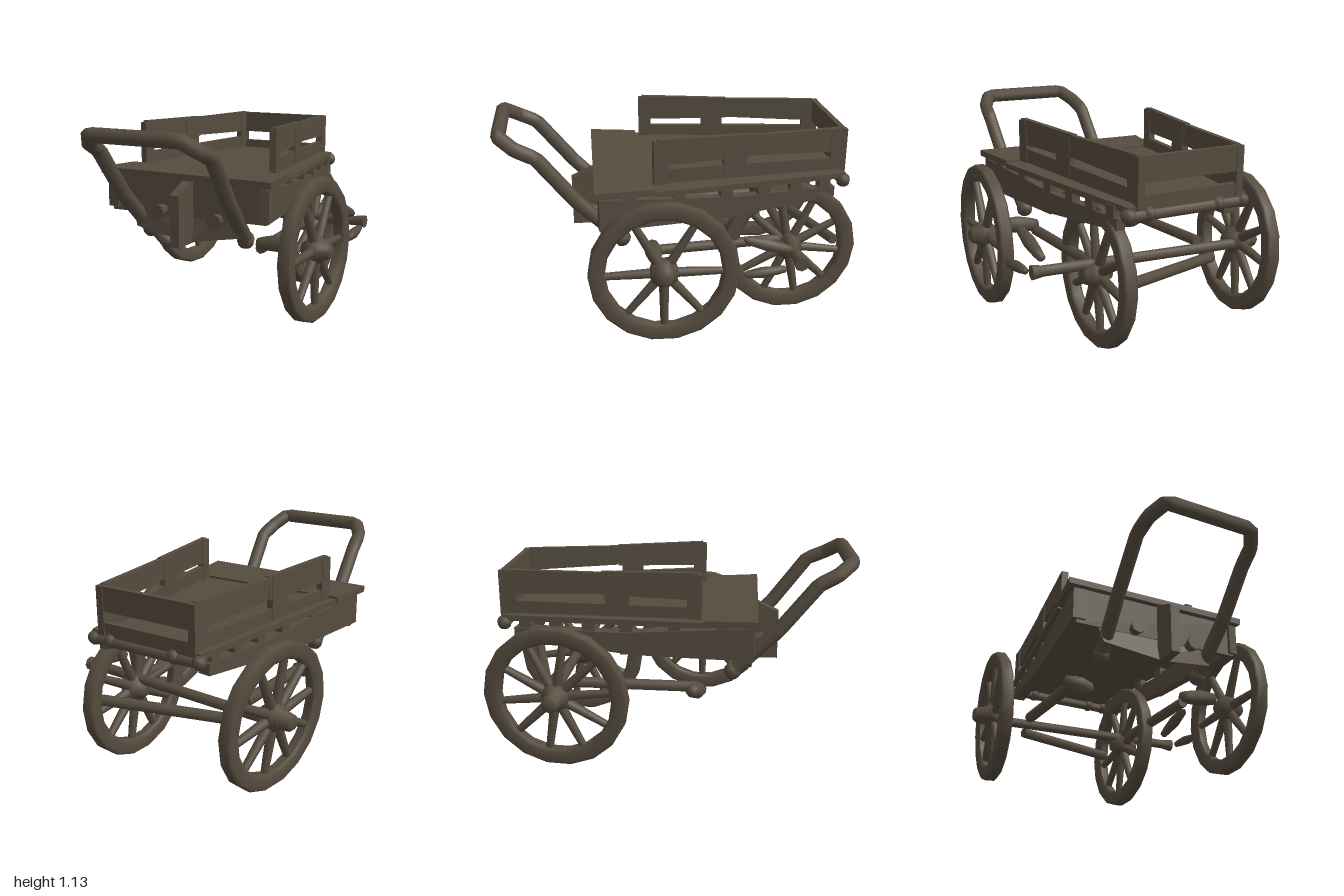
import * as THREE from 'three';
import { ConvexGeometry } from 'three/addons/geometries/ConvexGeometry.js';

export function createModel() {
  const cart = new THREE.Group();
  cart.name = 'handCart';
  const wood = new THREE.MeshStandardMaterial({ color: 0x564c3f });
  wood.name = 'darkWood';
  const V = (p) => new THREE.Vector3(...p);

  function add(geometry, name, parent = cart) {
    const mesh = new THREE.Mesh(geometry, wood);
    mesh.name = name;
    parent.add(mesh);
    return mesh;
  }

  // Upright board whose bottom edge runs from a to b; heights at both ends
  function plank(name, a, b, ha, hb = ha, t = 0.03) {
    const side = new THREE.Vector3(b[2] - a[2], 0, a[0] - b[0]).setLength(t / 2);
    const pts = [];
    for (const [p, h] of [[a, ha], [b, hb]])
      for (const y of [0, h])
        for (const s of [-1, 1]) pts.push(V(p).addScaledVector(side, s).add(V([0, y, 0])));
    return add(new ConvexGeometry(pts), name);
  }

  // Flat board: outline [x, y, z] with thickness t downwards
  function deck(name, outline, t) {
    const pts = outline.flatMap(([x, y, z]) => [V([x, y, z]), V([x, y - t, z])]);
    return add(new ConvexGeometry(pts), name);
  }

  // Places a mesh that lies along y between a and b
  function align(mesh, a, d) {
    mesh.position.copy(V(a)).addScaledVector(d, 0.5);
    mesh.quaternion.setFromUnitVectors(new THREE.Vector3(0, 1, 0), d.clone().normalize());
  }

  // Round bar from a to b
  function bar(name, a, b, r0, r1 = r0, parent = cart) {
    const d = V(b).sub(V(a));
    align(add(new THREE.CylinderGeometry(r1, r0, d.length(), 8), name, parent), a, d);
  }

  // Bar that swells in the middle, like a broken spindle
  function spindle(name, a, b, r) {
    const d = V(b).sub(V(a)), len = d.length();
    const profile = [[0, 0], [0.6, 0.03], [0.8, 0.2], [1, 0.55], [0.7, 0.9], [0, 1]]
      .map(([x, y]) => new THREE.Vector2(x * r, (y - 0.5) * len));
    align(add(new THREE.LatheGeometry(profile, 8), name), a, d);
  }

  // Wheel with its axis along x; yaw and lean tilt it, hubOut is the signed outer hub length
  function wheel(name, pos, R, yaw, lean, hubOut, spokes) {
    const g = new THREE.Group();
    g.name = name;
    const rimProfile = [[-0.088, -0.022], [-0.07, -0.037], [-0.014, -0.037], [0, -0.024], [0, 0.024],
      [-0.014, 0.037], [-0.07, 0.037], [-0.088, 0.022], [-0.088, -0.022]]
      .map(([r, x]) => new THREE.Vector2(R + r, x));
    add(new THREE.LatheGeometry(rimProfile, 18), 'rim', g).rotation.z = -Math.PI / 2;
    const end = Math.abs(hubOut);
    const hubProfile = [[0, -0.075], [0.035, -0.075], [0.045, -0.05], [0.08, -0.025], [0.08, 0.02],
      [0.055, 0.05], [0.045, end - 0.015], [0.03, end], [0, end]]
      .map(([r, x]) => new THREE.Vector2(r, x));
    add(new THREE.LatheGeometry(hubProfile, 10), 'hub', g).rotation.z = -Math.sign(hubOut) * Math.PI / 2;
    for (const degrees of spokes) {
      const a = degrees * Math.PI / 180, c = Math.cos(a), s = Math.sin(a);
      bar('spoke', [0, c * 0.05, s * 0.05], [0, c * (R - 0.06), s * (R - 0.06)], 0.028, 0.02, g);
    }
    g.position.set(...pos);
    g.rotation.set(0, yaw, lean);
    cart.add(g);
  }
  const tenSpokes = Array.from({ length: 10 }, (_, i) => i * 36 + 10);
  wheel('rearRightWheel', [-0.592, 0.435, -0.605], 0.395, -0.11, 0.055, -0.125, tenSpokes);
  wheel('frontLeftWheel', [0.622, 0.44, 0.135], 0.4, -0.05, 0, 0.095, [-31, 29, 92, 140, 180, 220, 270]);
  wheel('rearInnerWheel', [0.297, 0.39, -0.62], 0.385, -0.03, 0.015, 0.09, tenSpokes);

  // Axle, rear crossbar and loose undercarriage pieces
  bar('axle', [-0.65, 0.425, -0.64], [0.62, 0.45, -0.6], 0.03);
  bar('axleTip', [0.58, 0.45, -0.605], [0.655, 0.45, -0.6], 0.028, 0.04);
  bar('rearCrossbar', [0.3, 0.41, -0.89], [-0.36, 0.4, -0.7], 0.03);
  bar('rightStay', [-0.36, 0.42, 0.13], [-0.38, 0.44, -0.54], 0.032);
  spindle('rightStayEnd', [-0.43, 0.42, 0.1], [-0.27, 0.37, 0.16], 0.05);
  bar('leftStay', [0.3, 0.41, 0.16], [0.31, 0.44, -0.56], 0.03);
  spindle('leftStayEnd', [0.28, 0.44, 0.16], [0.53, 0.47, 0.17], 0.05);
  spindle('brokenSpindle', [0.58, 0.5, -0.57], [0.59, 0.59, -0.29], 0.036);
  spindle('brokenStay', [0.65, 0.43, -0.52], [0.655, 0.41, -0.28], 0.03);

  // Floor and the wide front board
  deck('floor', [[-0.52, 0.835, 0.2], [0.475, 0.835, 0.16], [0.3, 0.82, -0.93], [-0.385, 0.82, -0.93]], 0.03);
  deck('frontBoard', [[-0.56, 0.855, 0.455], [0.51, 0.855, 0.48], [0.47, 0.848, 0.16], [-0.525, 0.848, 0.18]], 0.035);

  // Slatted sides on top of the floor
  const sides = [['right', [-0.465, 0.16], [-0.34, -0.91], 0.06], ['left', [0.37, 0.16], [0.23, -0.91], 0.08]];
  for (const [name, f, r, slat] of sides) {
    const at = (t, y) => [f[0] + (r[0] - f[0]) * t, y, f[1] + (r[1] - f[1]) * t];
    plank(name + 'LowerSlat', at(0, 0.845), at(1, 0.825), slat, 0.07, 0.032);
    plank(name + 'UpperSlatFront', at(0.02, 0.945), at(0.5, 0.95), 0.145, 0.125, 0.032);
    plank(name + 'UpperSlatRear', at(0.5, 0.955), at(1, 0.93), 0.115, 0.135, 0.03);
    for (const [t0, t1] of [[0, 0.07], [0.36, 0.48], [0.94, 1]])
      plank(name + 'SidePost', at(t0, 0.84), at(t1, 0.84), t0 ? 0.22 : 0.24, t0 ? 0.22 : 0.245, 0.038);
  }
  plank('tailBoard', [-0.345, 0.93, -0.92], [0.235, 0.93, -0.92], 0.13);
  plank('tailSlat', [-0.345, 0.82, -0.92], [0.235, 0.82, -0.92], 0.05);
  for (const x of [-0.34, 0.23])
    plank('tailPost', [x - 0.02, 0.8, -0.92], [x + 0.02, 0.8, -0.92], 0.26, 0.26, 0.04);

  // Lower body: side boards, blocks beneath the floor, front panels
  const hull = [['right', [-0.49, 0.44], [-0.35, -0.86], 0.07], ['left', [0.465, 0.46], [0.295, -0.86], 0.05]];
  for (const [name, f, r, t] of hull) {
    const at = (k, y) => [f[0] + (r[0] - f[0]) * k, y, f[1] + (r[1] - f[1]) * k];
    plank(name + 'BodyFront', at(0, 0.63), at(0.55, 0.63), 0.18, 0.12, t);
    plank(name + 'BodyRear', at(0.5, 0.63), at(1, 0.69), 0.12, 0.06, t);
    for (const k of [0.1, 0.3, 0.5, 0.66, 0.8, 0.93])
      plank(name + 'FloorBlock', at(k, 0.72), at(k + 0.05, 0.72), 0.09, 0.09, 0.05);
  }
  plank('frontPanel', [-0.5, 0.61, 0.41], [0.47, 0.62, 0.43], 0.21, 0.21);
  add(new ConvexGeometry([[-0.34, 0.53, 0.43], [0.31, 0.53, 0.43], [0, 0.48, 0.46], [-0.4, 0.72, 0.4],
    [0.36, 0.72, 0.41], [-0.3, 0.55, 0.38], [0.28, 0.55, 0.38]].map(V)), 'frontBelly');
  plank('frontPost', [0.005, 0.48, 0.44], [0.005, 0.48, 0.59], 0.35, 0.28, 0.055);
  bar('rightPeg', [-0.16, 0.64, 0.42], [-0.165, 0.64, 0.5], 0.03, 0.045);
  bar('leftPeg', [0.185, 0.62, 0.42], [0.185, 0.62, 0.5], 0.03, 0.045);
  bar('rearBolster', [-0.39, 0.77, -0.92], [0.31, 0.77, -0.92], 0.03);
  for (const x of [-0.22, 0.18, -0.37, 0.29])
    add(new THREE.SphereGeometry(0.04, 8, 6), 'bolsterKnob').position.set(x, 0.775, -0.92);

  // Push handle: a bent tube with rounded feet
  const path = new THREE.CurvePath();
  const pts = [[-0.31, 0.5, 0.33], [-0.33, 0.74, 0.57], [-0.325, 1.0, 0.78], [-0.31, 1.05, 0.88], [-0.25, 1.105, 0.96],
    [0.27, 1.105, 0.96], [0.32, 1.05, 0.88], [0.335, 1.0, 0.77], [0.32, 0.74, 0.57], [0.295, 0.5, 0.33]].map(V);
  for (let i = 1; i < pts.length; i++) path.add(new THREE.LineCurve3(pts[i - 1], pts[i]));
  add(new THREE.TubeGeometry(path, 70, 0.041, 8), 'handle');
  for (const p of [pts[0], pts[9]])
    add(new THREE.SphereGeometry(0.05, 8, 6), 'handleFoot').position.copy(p);

  return cart;
}
